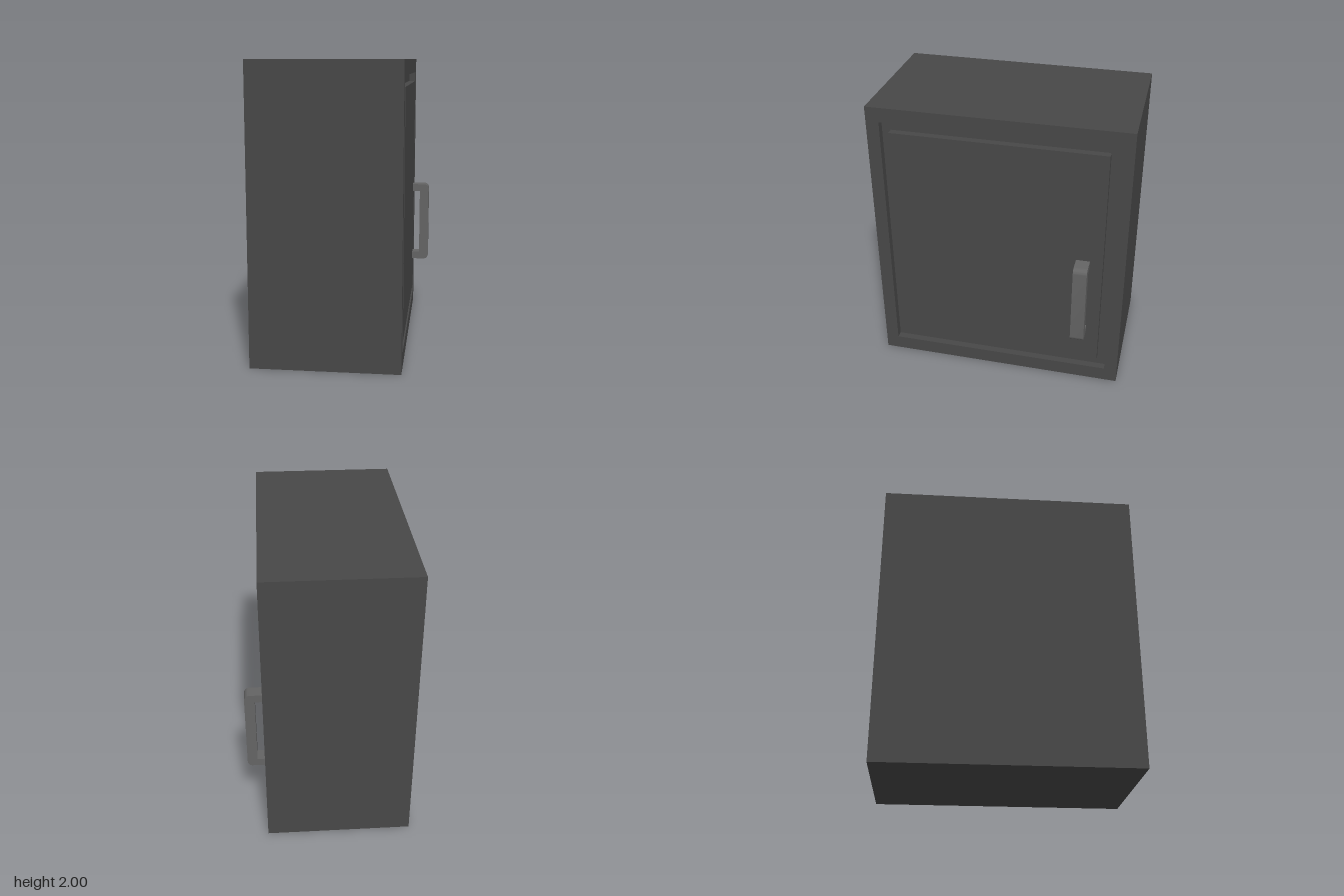
import * as THREE from 'three';
import { toCreasedNormals } from 'three/addons/utils/BufferGeometryUtils.js';

const BACK = -0.56, FACE = 0.435, GROOVE = 0.385;
const HALF_DEPTH = 0.88;

// Four-sided lathe turned onto the x axis: a rectangular solid from [halfHeight, x] steps
function steppedBlock(steps) {
  const points = steps.map(([h, x]) => new THREE.Vector2(h * Math.SQRT2, x));
  const geometry = new THREE.LatheGeometry(points, 4, Math.PI / 4);
  geometry.rotateZ(-Math.PI / 2);
  geometry.scale(1, 1, HALF_DEPTH);
  geometry.translate(0, 1, 0);
  const flat = geometry.toNonIndexed();
  flat.computeVertexNormals();
  return flat;
}

// Pull handle: a bracket with rounded outer corners, extruded across its width
function handleGeometry() {
  const x0 = FACE - 0.005, xIn = 0.49, x1 = 0.56;
  const y0 = 0.425, y1 = 1.025, leg = 0.055, r = 0.035;
  const s = new THREE.Shape();
  s.moveTo(x0, y0);
  s.lineTo(x1 - r, y0);
  s.absarc(x1 - r, y0 + r, r, -Math.PI / 2, 0, false);
  s.lineTo(x1, y1 - r);
  s.absarc(x1 - r, y1 - r, r, 0, Math.PI / 2, false);
  s.lineTo(x0, y1);
  s.lineTo(x0, y1 - leg);
  s.lineTo(xIn, y1 - leg);
  s.lineTo(xIn, y0 + leg);
  s.lineTo(x0, y0 + leg);
  s.closePath();
  const geometry = new THREE.ExtrudeGeometry(s, { depth: 0.095, bevelEnabled: false, curveSegments: 5 });
  geometry.translate(0, 0, -0.64);
  return toCreasedNormals(geometry, Math.PI / 5);
}

export function createModel() {
  const group = new THREE.Group();
  group.name = 'cabinet';
  const dark = new THREE.MeshStandardMaterial({ color: 0x484848 });
  const metal = new THREE.MeshStandardMaterial({ color: 0x646464 });

  const add = (name, geometry, material) => {
    const mesh = new THREE.Mesh(geometry, material);
    mesh.name = name;
    group.add(mesh);
  };

  // Cabinet body with the door recess sunk into its +x side
  add('body', steppedBlock([[0, BACK], [1, BACK], [1, FACE], [0.8975, FACE], [0.8975, GROOVE], [0, GROOVE]]), dark);

  // Door panel filling the recess, leaving a groove all round
  add('door', steppedBlock([[0, GROOVE - 0.01], [0.8285, GROOVE - 0.01], [0.8285, FACE], [0, FACE]]), dark);

  add('handle', handleGeometry(), metal);
  return group;
}
